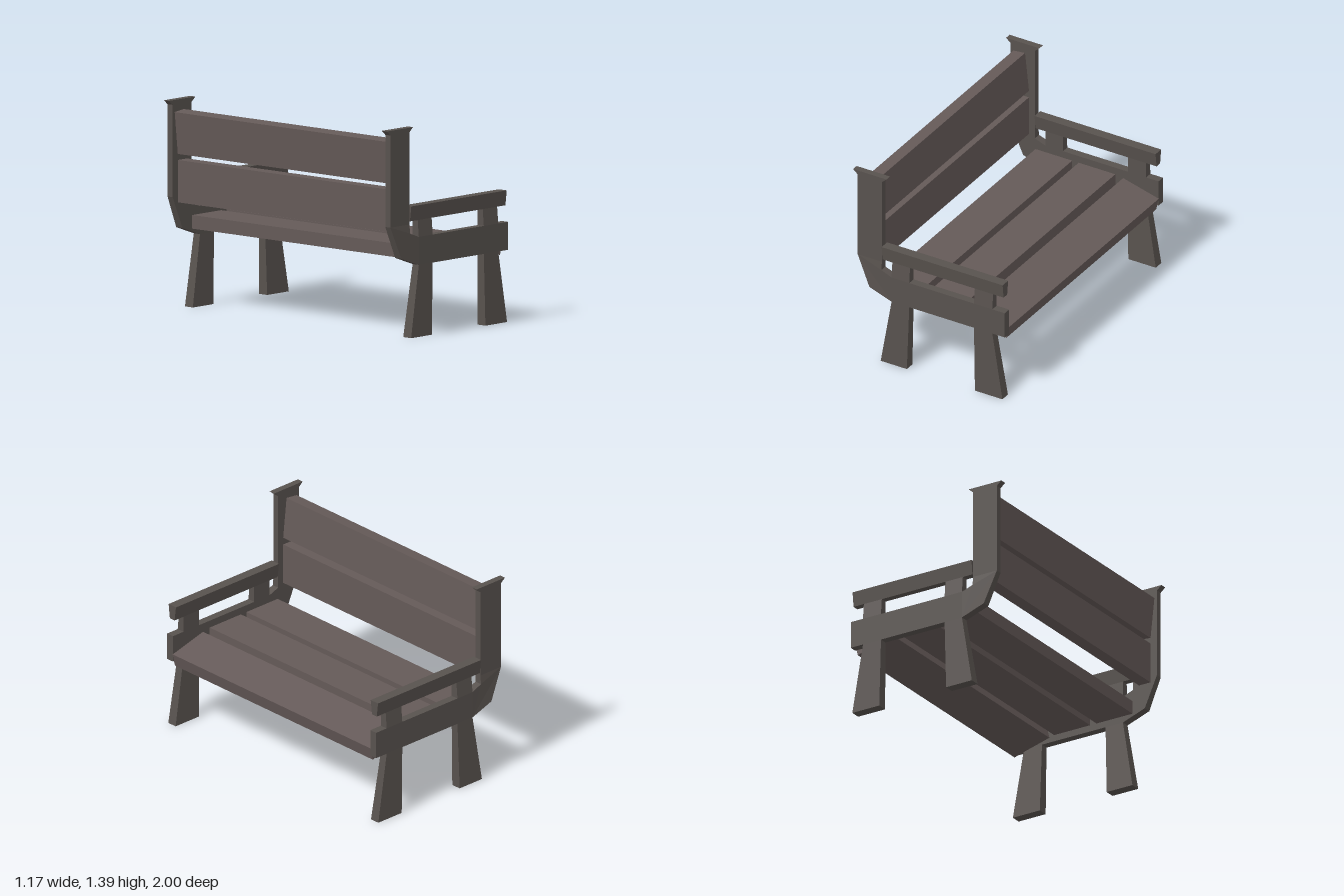
import * as THREE from 'three';

const frameMat = new THREE.MeshStandardMaterial({ color: 0x58524e, flatShading: true });
const slatMat = new THREE.MeshStandardMaterial({ color: 0x655a58, flatShading: true });

// Extrude an x/y outline; depth(y) gives the [near, far] z of each vertex.
function slab(name, outline, depth, mat) {
  const shape = new THREE.Shape(outline.map(([x, y]) => new THREE.Vector2(x, y)));
  const geo = new THREE.ExtrudeGeometry(shape, { depth: 1, bevelEnabled: false });
  const p = geo.attributes.position;
  for (let i = 0; i < p.count; i++) {
    const [a, b] = depth(p.getY(i));
    p.setZ(i, THREE.MathUtils.lerp(a, b, p.getZ(i)));
  }
  geo.computeVertexNormals();
  const mesh = new THREE.Mesh(geo, mat);
  mesh.name = name;
  return mesh;
}

// Depth that changes linearly from [in0, out0] at y0 to [in1, out1] at y1
function taper(y0, in0, out0, y1, in1, out1) {
  return (y) => {
    const t = THREE.MathUtils.clamp((y - y0) / (y1 - y0), 0, 1);
    return [in0 + (in1 - in0) * t, out0 + (out1 - out0) * t];
  };
}

const parts = [
  // back post with flared cap
  ['backPost', [[-0.55, 0.75], [-0.365, 0.75], [-0.365, 1.36], [-0.33, 1.39], [-0.585, 1.39], [-0.55, 1.36]],
    taper(0, 0.94, 0.985, 1, 0.94, 0.985)],
  // bent joint between post and rail
  ['elbow', [[-0.55, 0.75], [-0.455, 0.535], [-0.285, 0.475], [-0.285, 0.66], [-0.365, 0.69], [-0.365, 0.75]],
    taper(0.66, 0.94, 0.995, 0.75, 0.94, 0.985)],
  ['sideRail', [[-0.285, 0.475], [0.58, 0.475], [0.58, 0.66], [-0.285, 0.66]],
    taper(0, 0.94, 0.995, 1, 0.94, 0.995)],
  ['rearLeg', [[-0.365, 0], [-0.165, 0], [-0.15, 0.475], [-0.285, 0.475]],
    taper(0, 0.93, 1, 0.475, 0.94, 0.995)],
  ['frontLeg', [[0.355, 0], [0.565, 0], [0.485, 0.475], [0.345, 0.475]],
    taper(0, 0.93, 1, 0.475, 0.94, 0.995)],
  ['rearArmPost', [[-0.285, 0.66], [-0.15, 0.66], [-0.15, 0.77], [-0.285, 0.77]],
    taper(0.66, 0.94, 0.995, 0.77, 0.94, 0.985)],
  ['frontArmPost', [[0.345, 0.66], [0.485, 0.66], [0.485, 0.77], [0.345, 0.77]],
    taper(0.66, 0.94, 0.995, 0.77, 0.94, 0.985)],
  ['armrest', [[-0.36, 0.77], [0.565, 0.77], [0.565, 0.87], [-0.36, 0.87]],
    taper(0.77, 0.94, 0.985, 0.87, 0.927, 0.997)],
];

// Slat cross-sections, running the full width between the end frames
const slats = [
  ['rearSeatSlat', [[-0.36, 0.52], [-0.08, 0.52], [-0.08, 0.61], [-0.36, 0.61]]],
  ['middleSeatSlat', [[-0.03, 0.52], [0.25, 0.52], [0.25, 0.61], [-0.03, 0.61]]],
  ['frontSeatSlat', [[0.287, 0.51], [0.56, 0.438], [0.582, 0.528], [0.31, 0.6]]],
  ['lowerBackSlat', [[-0.5, 0.71], [-0.41, 0.71], [-0.41, 0.99], [-0.5, 0.99]]],
  ['upperBackSlat', [[-0.5, 1.03], [-0.41, 1.04], [-0.44, 1.32], [-0.53, 1.31]]],
];

export function createModel() {
  const bench = new THREE.Group();
  bench.name = 'bench';

  // mirrored end frames
  for (const side of [1, -1]) {
    const frame = new THREE.Group();
    frame.name = side > 0 ? 'leftEndFrame' : 'rightEndFrame';
    for (const [name, outline, depth] of parts) {
      const sided = (y) => {
        const [inner, outer] = depth(y);
        return side > 0 ? [inner, outer] : [-outer, -inner];
      };
      frame.add(slab(name, outline, sided, frameMat));
    }
    bench.add(frame);
  }

  // seat and backrest planks
  for (const [name, outline] of slats) {
    bench.add(slab(name, outline, () => [-0.942, 0.942], slatMat));
  }
  return bench;
}
